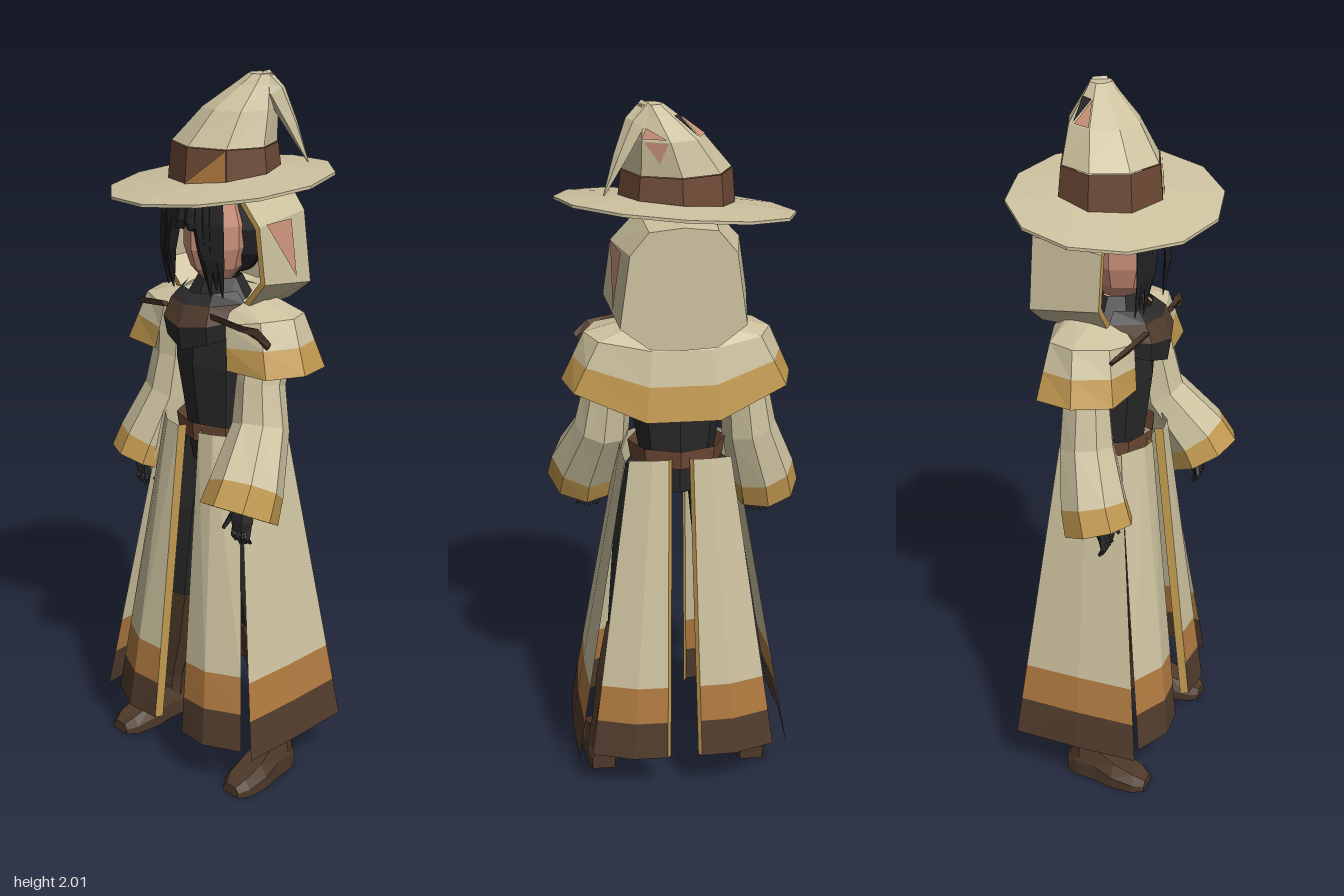
import * as THREE from 'three';

const paint = (name, color) =>
  new THREE.MeshStandardMaterial({ name, color, flatShading: true, side: THREE.DoubleSide });
const cream = paint('cream cloth', 0xcec3a0);
const gold = paint('gold trim', 0xc0984f);
const orange = paint('orange stripe', 0xb07a40);
const hemBrown = paint('dark hem', 0x513c2d);
const leather = paint('boot leather', 0x4d3929);
const belt = paint('belt brown', 0x6e4a36);
const black = paint('black cloth', 0x29292a);
const hairMat = paint('hair', 0x222225);
const skin = paint('skin', 0xc98f78);
const patch = paint('pink patch', 0xcd957c);

// Joins rings of [x,y,z] points; one material per band between rings.
function loft(name, rings, mats, { closed = true, capStart = false, capEnd = false } = {}) {
  const pos = [], geo = new THREE.BufferGeometry();
  const list = Array.isArray(mats) ? mats : rings.slice(1).map(() => mats);
  const fan = (ring, mat, flip) => {
    const start = pos.length / 3, n = ring.length;
    const c = [0, 1, 2].map(k => ring.reduce((a, p) => a + p[k], 0) / n);
    ring.forEach((p, i) => {
      const q = ring[(i + 1) % n];
      pos.push(...c, ...(flip ? q : p), ...(flip ? p : q));
    });
    geo.addGroup(start, pos.length / 3 - start, mat);
  };
  for (let r = 0; r < rings.length - 1; r++) {
    const a = rings[r], b = rings[r + 1], n = a.length, start = pos.length / 3;
    for (let i = 0; i < (closed ? n : n - 1); i++) {
      const j = (i + 1) % n;
      pos.push(...a[i], ...b[i], ...b[j], ...a[i], ...b[j], ...a[j]);
    }
    geo.addGroup(start, pos.length / 3 - start, r);
  }
  if (capStart) fan(rings[0], 0, true);
  if (capEnd) fan(rings[rings.length - 1], list.length - 1, false);
  geo.setAttribute('position', new THREE.Float32BufferAttribute(pos, 3));
  geo.computeVertexNormals();
  const mesh = new THREE.Mesh(geo, list);
  mesh.name = name;
  return mesh;
}

// Level ring around the y axis.
const oval = (cx, y, cz, rx, rz, n = 8) => Array.from({ length: n }, (_, i) => {
  const a = i / n * Math.PI * 2;
  return [cx + rx * Math.sin(a), y, cz + rz * Math.cos(a)];
});

// Rings across a path of [x,y,z,radius]; flat squashes the depth.
function pathRings(path, n = 8, flat = 1) {
  const v = path.map(p => new THREE.Vector3(p[0], p[1], p[2]));
  return path.map((p, i) => {
    const t = v[Math.min(i + 1, v.length - 1)].clone().sub(v[Math.max(i - 1, 0)]).normalize();
    const u = new THREE.Vector3(1, 0, 0).addScaledVector(t, -t.x).normalize();
    const w = new THREE.Vector3().crossVectors(u, t);
    return Array.from({ length: n }, (_, k) => {
      const a = k / n * Math.PI * 2;
      return v[i].clone().addScaledVector(u, Math.cos(a) * p[3])
        .addScaledVector(w, Math.sin(a) * p[3] * flat).toArray();
    });
  });
}
const tube = (name, path, mats, n, flat, capStart = true, capEnd = true) =>
  loft(name, pathRings(path, n, flat), mats, { capStart, capEnd });

const flip = (pts, s) => pts.map(([x, ...rest]) => [x * s, ...rest]);
const mix = (a, b, t) => a.map((p, i) => p.map((c, k) => c + (b[i][k] - c) * t));
const plate = (name, pts, mat) => loft(name, [pts], [mat], { capEnd: true });
// Full loop from one half outline that starts and ends on x = 0.
const mirrorLoop = half => [...half, ...flip(half.slice(1, -1).reverse(), -1)];

function makeHat() {
  const hat = new THREE.Group();
  hat.name = 'hat';
  const tilt = (ring, dy) => ring.map(([x, y, z]) => [x, y + dy + 0.09 * x - 0.09 * z, z]);
  const inner = oval(0, 1.738, -0.01, 0.12, 0.12, 12), outer = oval(0, 1.72, 0, 0.325, 0.283, 12);
  hat.add(loft('hatBrim', [tilt(inner, 0), tilt(outer, 0), tilt(outer, -0.008), tilt(inner, -0.012)], cream, { capEnd: true }));
  const crown = [oval(0, 1.82, -0.015, 0.145, 0.134), oval(0.03, 1.91, -0.045, 0.1, 0.1),
    oval(0.06, 1.97, -0.065, 0.054, 0.05), oval(0.075, 1.998, -0.073, 0.033, 0.03)];
  hat.add(loft('hatCrown', crown, cream, { capEnd: true }));
  const low = tilt(oval(0, 1.737, -0.015, 0.156, 0.145), 0), high = oval(0, 1.819, -0.015, 0.148, 0.137);
  hat.add(loft('hatBand', [low, high], belt));
  const out = p => [p[0] * 1.01, p[1], p[2] * 1.02 + 0.002];
  hat.add(plate('bandPatch', [low[0], low[1], high[1]].map(out), orange));
  hat.add(tube('hatTip', [[0.075, 1.985, -0.075, 0.032], [0.115, 1.95, -0.09, 0.029],
    [0.155, 1.87, -0.107, 0.019], [0.2, 1.775, -0.125, 0.002]], cream, 5));
  // Mended spots and a tear on the rear of the crown
  const spot = (name, row, i, corners, mat) => {
    const j = (i + 1) % 8, a = crown[row], b = crown[row + 1];
    const at = ([u, v]) => mix(mix([a[i]], [a[j]], u), mix([b[i]], [b[j]], u), v)[0];
    hat.add(plate(name, corners.map(at).map(([x, y, z]) =>
      [x + (x - 0.04) * 0.025, y + 0.003, z + (z + 0.05) * 0.04]), mat));
  };
  spot('hatPatch', 0, 3, [[0.1, 0.95], [0.9, 0.95], [0.5, 0.35]], patch);
  spot('hatPatch', 1, 5, [[0.3, 0.02], [0.97, 0.02], [0.97, 0.9]], patch);
  spot('hatPatch', 1, 3, [[0, 0.05], [0.9, 0.05], [0.2, 0.5]], patch);
  spot('hatTear', 1, 5, [[0.22, 0.05], [0.9, 0.92], [0.1, 0.95]], black);
  return hat;
}

function makeHead() {
  const head = new THREE.Group();
  head.name = 'head';
  const face = new THREE.Mesh(new THREE.SphereGeometry(1, 8, 7), skin);
  face.name = 'face';
  face.scale.set(0.085, 0.14, 0.1);
  face.position.set(0, 1.575, 0.012);
  const cap = new THREE.Mesh(new THREE.SphereGeometry(1, 8, 6), hairMat);
  cap.name = 'hairCap';
  cap.scale.set(0.1, 0.14, 0.1);
  cap.position.set(0, 1.59, -0.06);
  head.add(face, cap);
  // Hair locks: root x, tip x, tip height, width
  const locks = [[0.1, 0.105, 1.43, 0.02], [0.085, 0.088, 1.45, 0.024], [0.066, 0.072, 1.43, 0.024],
    [0.042, 0.062, 1.47, 0.023], [0.016, 0.028, 1.6, 0.025]];
  for (const s of [1, -1]) locks.forEach(([x0, x1, y, w], i) => {
    const z = 0.095 + i * 0.006;
    head.add(tube('hairLock', flip([[x0 * 0.85, 1.685, z, w], [x0, 1.63, z + 0.012, w],
      [x1, (1.62 + y) / 2, z + 0.012, w * 0.9], [x1, y, z, 0.003]], s), hairMat, 4, 0.45));
  });
  // Hood: outer shell, gold rim, lining
  const front = mirrorLoop([[0, 1.72, 0.03], [0.1, 1.7, 0.03], [0.175, 1.62, 0.03], [0.197, 1.47, 0.03], [0.13, 1.39, 0.03], [0, 1.38, 0.03]]);
  const back = mirrorLoop([[0, 1.7, -0.18], [0.09, 1.69, -0.18], [0.14, 1.63, -0.18], [0.168, 1.435, -0.18], [0.09, 1.375, -0.18], [0, 1.37, -0.18]]);
  const shrink = (k, z) => front.map(([x, y]) => [x * k, 1.55 + (y - 1.55) * k, z]);
  head.add(loft('hood', [back, front, shrink(0.92, 0.032), shrink(0.75, -0.14)], [cream, gold, cream],
    { capStart: true, capEnd: true }));
  head.add(plate('hoodPatch', [[0.176, 1.625, 0.005], [0.158, 1.62, -0.11], [0.181, 1.465, -0.11]], patch));
  return head;
}

function makeTorso() {
  const torso = new THREE.Group();
  torso.name = 'torso';
  torso.add(loft('tunic', [oval(0, 0.92, -0.01, 0.09, 0.08), oval(0, 1.05, -0.01, 0.11, 0.095),
    oval(0, 1.22, -0.005, 0.138, 0.112), oval(0, 1.36, 0, 0.13, 0.1), oval(0, 1.46, 0, 0.06, 0.06)], black, { capStart: true }));
  torso.add(loft('belt', [oval(0, 1, -0.005, 0.13, 0.108), oval(0, 1.055, -0.005, 0.138, 0.115)], belt));
  // Scarf with folded front
  const scarfRow = (x, y, z, drop) => [[-x, y, 0.03], [-x * 0.6, y - drop * 0.5, z * 0.85], [0, y - drop, z],
    [x * 0.6, y - drop * 0.5, z * 0.85], [x, y, 0.03]];
  torso.add(loft('scarf', [scarfRow(0.095, 1.435, 0.1, 0.01), scarfRow(0.125, 1.405, 0.135, 0.005),
    scarfRow(0.138, 1.365, 0.16, 0.025), scarfRow(0.13, 1.325, 0.15, 0.05)], [black, hemBrown, black], { closed: false }));
  torso.add(tube('leftScarfStrap', [[0.09, 1.38, 0.12, 0.02], [0.18, 1.365, 0.105, 0.022],
    [0.23, 1.355, 0.09, 0.024], [0.27, 1.33, 0.09, 0.014]], hemBrown, 4, 0.4));
  torso.add(tube('rightScarfStrap', [[-0.09, 1.38, 0.12, 0.02], [-0.18, 1.365, 0.1, 0.022],
    [-0.235, 1.35, 0.08, 0.014]], hemBrown, 4, 0.4));
  // Capelet, open at the front and dipping at the back
  const row = half => [...half, ...flip([...half].reverse(), -1)];
  const neck = row([[0.1, 1.395, 0.06], [0.11, 1.41, 0.03], [0.11, 1.42, -0.02], [0.09, 1.42, -0.07], [0.04, 1.42, -0.1]]);
  const top = row([[0.12, 1.36, 0.1], [0.22, 1.38, 0.07], [0.255, 1.38, -0.02], [0.22, 1.375, -0.1], [0.08, 1.36, -0.15]]);
  const bottom = row([[0.14, 1.24, 0.115], [0.27, 1.24, 0.1], [0.318, 1.24, 0], [0.29, 1.235, -0.11], [0.1, 1.17, -0.185]]);
  torso.add(loft('capelet', [neck, top, mix(top, bottom, 0.5), bottom], [cream, cream, gold], { closed: false }));
  return torso;
}

function makeSkirt() {
  const skirt = new THREE.Group();
  skirt.name = 'robeSkirt';
  const panel = (name, top, hem, s) => {
    const rows = [0, 0.755, 0.877, 1].map(t => flip(mix(top, hem, t), s));
    skirt.add(loft(name, rows, [cream, orange, hemBrown], { closed: false }));
  };
  // Gold edging turned inward along an opening
  const edge = (a, b, dz, s) => {
    const turn = ([x, y, z]) => [x - 0.01, y, z + dz];
    skirt.add(loft('goldEdge', [[a, turn(a)], [b, turn(b)]].map(r => flip(r, s)), gold, { closed: false }));
  };
  for (const s of [1, -1]) {
    const f = [[0.04, 1.04, 0.125], [0.09, 1.045, 0.12], [0.15, 1.04, 0.072]];
    const fh = [[0.057, 0.135, 0.215], [0.155, 0.14, 0.225], [0.26, 0.14, 0.174]];
    panel('frontPanel', f, fh, s);
    edge(f[0], fh[0], -0.022, s);
    panel('sidePanel', [[0.154, 1.04, 0.077], [0.16, 1.04, -0.02], [0.154, 1.03, -0.108]],
      [[0.305, 0.135, 0.18], [0.315, 0.14, 0], [0.305, 0.135, -0.194]], s);
    const b = [[0.034, 1.035, -0.125], [0.08, 1.035, -0.125], [0.142, 1.03, -0.104]];
    const bh = [[0.05, 0.14, -0.228], [0.15, 0.14, -0.225], [0.265, 0.14, -0.186]];
    panel('backPanel', b, bh, s);
    edge(b[0], bh[0], 0.01, s);
  }
  return skirt;
}

function makeArm(name, path, hand, s) {
  const arm = new THREE.Group();
  arm.name = name;
  arm.add(tube('sleeve', path, [cream, cream, cream, gold], 8, 1, false, false));
  arm.add(tube('cuffLining', path.slice(-2).map(([px, py, pz, r]) => [px, py, pz, r - 0.007]), black, 8, 1, true, false));
  const [x, y, z] = hand;
  // Glove, fingers and thumb
  arm.add(tube('glove', [[x, y + 0.12, z - 0.03, 0.03], [x, y + 0.04, z, 0.034], [x, y - 0.01, z + 0.005, 0.04], [x, y - 0.04, z + 0.01, 0.03]], black, 6, 0.65));
  for (let i = 0; i < 4; i++) {
    const fx = x + (i - 1.5) * 0.018;
    arm.add(tube('finger', [[fx, y - 0.025, z + 0.005, 0.009], [fx, y - 0.06, z + 0.012, 0.008], [fx, y - 0.085 + 0.006 * Math.abs(i - 1), z, 0.005]], black, 4));
  }
  arm.add(tube('thumb', [[x - s * 0.03, y, z + 0.01, 0.011], [x - s * 0.052, y - 0.045, z + 0.025, 0.006]], black, 4));
  return arm;
}

function makeLeg(s) {
  const leg = new THREE.Group();
  leg.name = s > 0 ? 'leftLeg' : 'rightLeg';
  leg.add(tube('trouser', flip([[0.085, 0.98, -0.01, 0.06], [0.115, 0.75, 0, 0.068], [0.155, 0.44, 0, 0.05]], s), black, 8));
  leg.add(tube('bootShaft', flip([[0.15, 0.46, 0, 0.058], [0.185, 0.3, -0.01, 0.055], [0.22, 0.14, -0.01, 0.038], [0.23, 0.06, -0.01, 0.042]], s), leather, 8));
  // Foot cross-sections: z, half width, height
  const foot = [[-0.052, 0.034, 0.07], [-0.02, 0.044, 0.1], [0.04, 0.046, 0.1], [0.1, 0.056, 0.07], [0.165, 0.05, 0.048], [0.195, 0.03, 0.03]];
  leg.add(loft('foot', foot.map(([z, w, h]) => flip([[-1, 0], [1, 0], [1, 0.5], [0.6, 1], [-0.6, 1], [-1, 0.5]]
    .map(([u, v]) => [0.228 + z * 0.06 + u * w, v * h, z]), s)), leather, { capStart: true, capEnd: true }));
  return leg;
}

export function createModel() {
  const model = new THREE.Group();
  model.name = 'robedWizard';
  model.add(makeHat(), makeHead(), makeTorso(), makeSkirt(), makeLeg(1), makeLeg(-1));
  model.add(makeArm('leftArm', [[0.18, 1.35, -0.01, 0.07], [0.19, 1.2, 0.035, 0.067], [0.205, 1.08, 0.05, 0.079],
    [0.245, 0.938, 0.145, 0.103], [0.25, 0.878, 0.178, 0.11]], [0.245, 0.865, 0.155], 1));
  model.add(makeArm('rightArm', [[-0.18, 1.35, -0.01, 0.07], [-0.19, 1.2, -0.01, 0.067], [-0.205, 1.08, -0.003, 0.077],
    [-0.25, 0.932, 0.035, 0.094], [-0.262, 0.868, 0.055, 0.099]], [-0.245, 0.865, 0.06], -1));
  return model;
}
